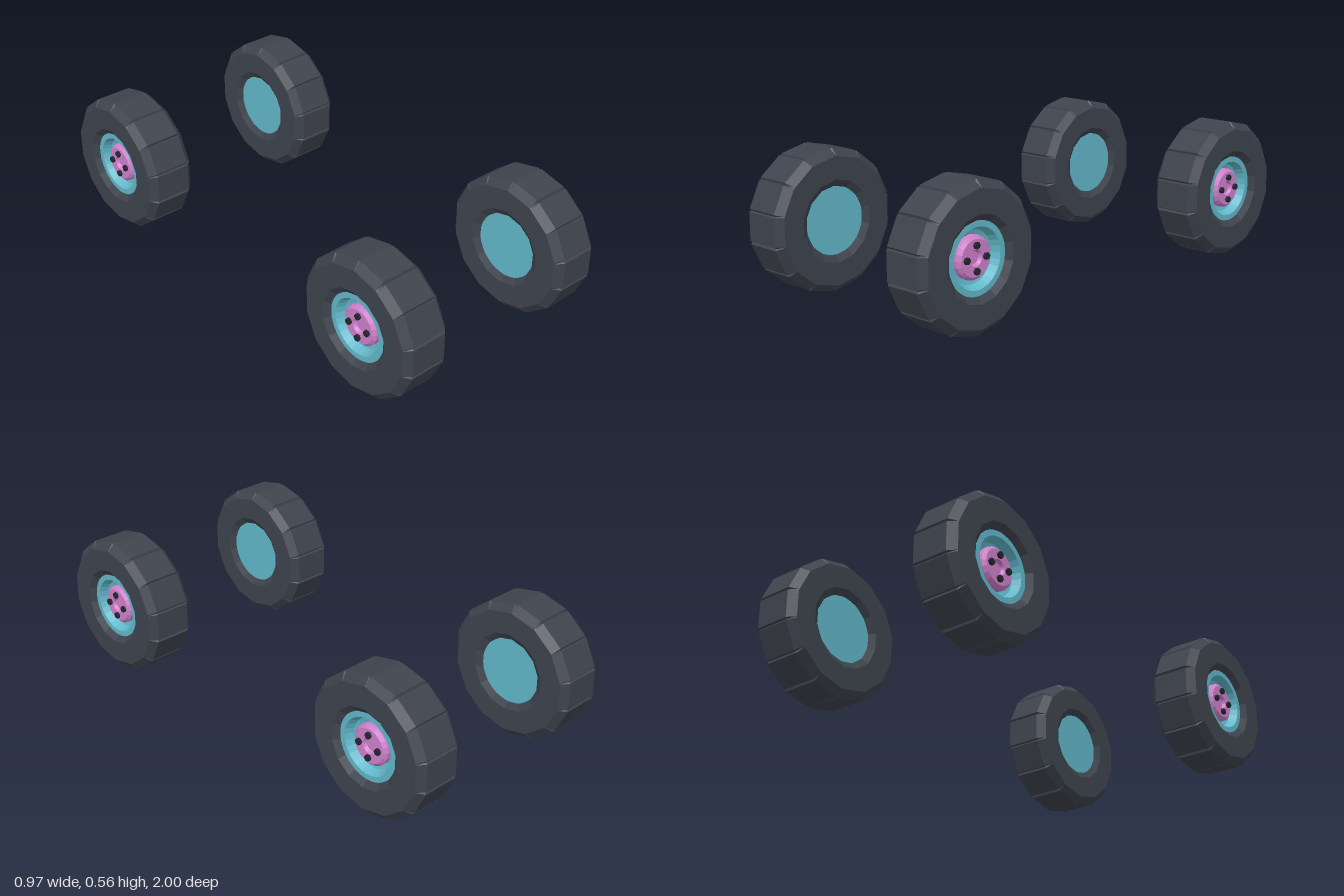
import * as THREE from 'three';

const SIDES = 14;
const mat = (name, color) => {
  const m = new THREE.MeshStandardMaterial({ color });
  m.name = name;
  return m;
};

// Faceted geometry: one normal per face
function facet(geo) {
  const g = geo.index ? geo.toNonIndexed() : geo;
  g.computeVertexNormals();
  return g;
}

// Turned part around the x axis; points are [x, radius]
function turned(points, segments) {
  const pts = points.map(([x, r]) => new THREE.Vector2(r, x));
  return facet(new THREE.LatheGeometry(pts, segments).rotateZ(-Math.PI / 2));
}

// Fourteen-sided tyre with a thin groove across the tread at every corner
function tyreGeometry() {
  const profile = [
    [-0.07, 0.13], [-0.085, 0.134], [-0.101, 0.16], [-0.101, 0.25], [-0.073, 0.279],
    [0.073, 0.279], [0.101, 0.25], [0.101, 0.16], [0.08, 0.134], [0.04, 0.125],
  ];
  const half = Math.PI / SIDES, gap = 0.022;
  const rows = [];
  for (let k = 0; k < SIDES; k++) {
    for (const d of [-gap, 0, gap]) {
      const a = k * 2 * half + d;
      const flat = Math.cos(half) / Math.cos(half - Math.abs(d));
      rows.push(profile.map(([x, r]) => {
        const dip = d === 0 && r > 0.27 ? 0.009 : 0;
        const q = r * flat - dip;
        return [x, q * Math.cos(a), q * Math.sin(a)];
      }));
    }
  }
  const pos = [];
  rows.forEach((row, i) => {
    const next = rows[(i + 1) % rows.length];
    for (let j = 0; j < profile.length - 1; j++) {
      pos.push(...row[j], ...next[j], ...row[j + 1]);
      pos.push(...next[j], ...next[j + 1], ...row[j + 1]);
    }
  });
  const g = new THREE.BufferGeometry();
  g.setAttribute('position', new THREE.Float32BufferAttribute(pos, 3));
  return facet(g);
}

export function createModel() {
  const rubber = mat('dark rubber', 0x3e434d);
  const teal = mat('teal rim', 0x62b8ca);
  const pink = mat('pink hub', 0xd080cc);
  const black = mat('black lug', 0x23262d);

  const tyre = tyreGeometry();
  // Flat back plate, lipped dish on the outer side
  const rim = turned([
    [-0.085, 0], [-0.085, 0.132], [0.082, 0.134], [0.082, 0.112],
    [0.05, 0.098], [0.042, 0.07], [0.042, 0],
  ], 28);
  // Raised hub cap with a shallow recessed centre
  const hub = turned([
    [0.04, 0.08], [0.062, 0.08], [0.074, 0.068], [0.074, 0.03], [0.062, 0.022], [0.062, 0],
  ], 20);
  const lug = facet(new THREE.CylinderGeometry(0.013, 0.013, 0.018, 6).rotateZ(-Math.PI / 2));

  function wheel(name) {
    const g = new THREE.Group();
    g.name = name;
    const add = (part, geo, material) => {
      const m = new THREE.Mesh(geo, material);
      m.name = part;
      g.add(m);
      return m;
    };
    add('tyre', tyre, rubber);
    add('rim', rim, teal);
    add('hub', hub, pink);
    for (let i = 0; i < 4; i++) {
      const a = i * Math.PI / 2;
      add('lug', lug, black).position.set(0.076, 0.046 * Math.cos(a), 0.046 * Math.sin(a));
    }
    return g;
  }

  // Four wheels, hubs facing outwards
  const model = new THREE.Group();
  model.name = 'wheelSet';
  for (const [end, z] of [['front', 0.728], ['back', -0.728]]) {
    for (const [side, s] of [['Left', 1], ['Right', -1]]) {
      const w = wheel(end + side + 'Wheel');
      w.position.set(s * 0.382, 0.279, z);
      if (s < 0) w.rotation.y = Math.PI;
      model.add(w);
    }
  }
  return model;
}
